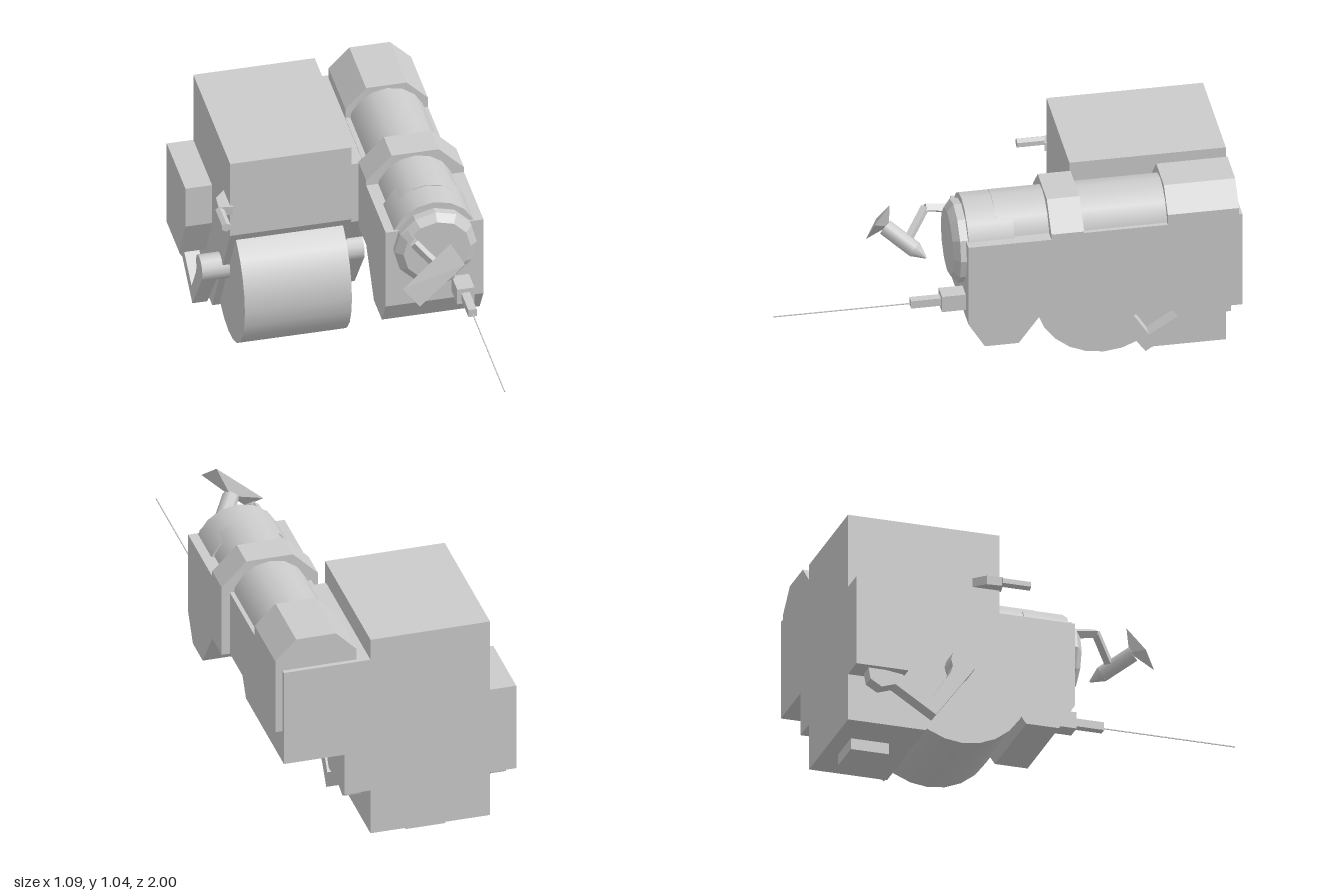
import * as THREE from 'three';
import { ConvexGeometry } from 'three/addons/geometries/ConvexGeometry.js';

export function createModel() {
  const model = new THREE.Group();
  const V = (x, y, z) => new THREE.Vector3(x, y, z);
  const grey = (flat = true) => new THREE.MeshStandardMaterial({ color: 0xcccccc, flatShading: flat });

  function add(name, geometry, flat = true) {
    const mesh = new THREE.Mesh(geometry, grey(flat));
    mesh.name = name;
    model.add(mesh);
    return mesh;
  }
  // Box given by its limits on each axis
  function box(name, x0, x1, y0, y1, z0, z1) {
    return add(name, new THREE.BoxGeometry(x1 - x0, y1 - y0, z1 - z0)
      .translate((x0 + x1) / 2, (y0 + y1) / 2, (z0 + z1) / 2));
  }
  function extrude(points, depth) {
    const shape = new THREE.Shape(points.map(([a, b]) => new THREE.Vector2(a, b)));
    return new THREE.ExtrudeGeometry(shape, { depth, bevelEnabled: false });
  }
  // Side profile of [z, y] points, extruded from x0 to x1
  function side(name, x0, x1, points) {
    return add(name, extrude(points, x1 - x0).rotateY(-Math.PI / 2).translate(x1, 0, 0));
  }
  // Front profile of [x, y] points, extruded from z0 to z1
  function front(name, z0, z1, points) {
    return add(name, extrude(points, z1 - z0).translate(0, 0, z0));
  }
  // Round bar between two points, r0 at the start and r1 at the end
  function bar(name, a, b, r0, r1 = r0, sides = 12, flat = false) {
    const dir = b.clone().sub(a);
    const mesh = add(name, new THREE.CylinderGeometry(r1, r0, dir.length(), sides), flat);
    mesh.position.copy(a).add(b).multiplyScalar(0.5);
    mesh.quaternion.setFromUnitVectors(V(0, 1, 0), dir.normalize());
    return mesh;
  }

  // Main housing with sloping lower front
  side('housing', -0.43, 0.095, [[-1, 0.05], [-0.655, 0.05], [-0.33, 0.63], [-0.33, 1], [-1, 1]]);
  box('foot', -0.255, -0.08, 0, 0.06, -0.93, -0.76);

  // Side wings
  side('rightWing', -0.545, -0.42, [[-1, 0.26], [-0.77, 0.26], [-0.66, 0.47], [-0.66, 0.665], [-1, 0.665]]);
  side('leftWing', 0.085, 0.21, [[-1, 0.26], [-0.77, 0.26], [-0.66, 0.457], [-1, 0.457]]);

  // Bridge carrying the long barrel unit
  side('bridge', 0.085, 0.475, [[-1, 0.455], [-0.44, 0.455], [-0.345, 0.605], [-0.345, 0.902], [-1, 0.902]]);

  // Roller, axle and bent arms
  bar('roller', V(-0.4, 0.325, -0.485), V(0.063, 0.325, -0.485), 0.296, 0.296, 24);
  bar('axle', V(-0.52, 0.353, -0.515), V(0.182, 0.353, -0.515), 0.058);
  for (const x of [-0.52, 0.117]) {
    side('axleArm', x, x + 0.065, [[-0.47, 0.32], [-0.64, 0.085], [-0.82, 0.2], [-0.88, 0.18], [-0.93, 0.21],
      [-0.94, 0.27], [-0.79, 0.25], [-0.655, 0.165], [-0.575, 0.29], [-0.56, 0.34]]);
  }

  // Side lever
  add('leverStem', extrude([[-0.42, 0.46], [-0.475, 0.4], [-0.48, 0.33], [-0.42, 0.32]], 0.04)
    .rotateX(-Math.PI / 2).translate(0, 0.745, 0));
  bar('leverHandle', V(-0.475, 0.763, -0.335), V(-0.475, 0.763, -0.21), 0.021, 0.021, 6, true);

  // Barrel unit: rear case, front case and chamfered collars
  box('rearCase', 0.15, 0.507, 0.605, 0.905, -0.98, -0.3);
  side('frontCase', 0.12, 0.543, [[0.185, 0.91], [-0.31, 0.91], [-0.31, 0.605], [-0.17, 0.605],
    [-0.03, 0.415], [0.115, 0.415], [0.185, 0.53]]);
  front('rearCollar', -0.98, -0.675,
    [[0.15, 0.9], [0.507, 0.9], [0.507, 0.953], [0.415, 1.045], [0.24, 1.045], [0.15, 0.953]]);
  front('frontCollar', -0.31, -0.17,
    [[0.12, 0.9], [0.543, 0.9], [0.543, 0.935], [0.435, 1.045], [0.23, 1.045], [0.12, 0.935]]);

  // Barrel, thicker sleeve and bevelled muzzle
  bar('barrel', V(0.33, 0.863, -0.7), V(0.33, 0.863, 0.05), 0.167, 0.167, 16);
  bar('sleeve', V(0.33, 0.84, -0.02), V(0.33, 0.84, 0.176), 0.186, 0.186, 16);
  bar('muzzle', V(0.33, 0.82, 0.15), V(0.33, 0.82, 0.21), 0.178, 0.178, 12, true);
  bar('muzzleBevel', V(0.33, 0.82, 0.21), V(0.33, 0.82, 0.237), 0.178, 0.145, 12, true);

  // Probe with a thin needle
  box('probeBase', 0.405, 0.48, 0.565, 0.64, 0.17, 0.287);
  box('probeTip', 0.423, 0.459, 0.584, 0.62, 0.28, 0.415);
  box('needle', 0.439, 0.443, 0.597, 0.601, 0.41, 1);

  // Bent bracket holding the spindle
  const bend = [V(0.2, 0.9, 0.19), V(0.215, 0.925, 0.31), V(0.305, 0.84, 0.395)];
  bar('bracketRoot', bend[0], bend[1], 0.025, 0.02, 4, true);
  bar('bracketArm', bend[1], bend[2], 0.02, 0.02, 4, true);
  bar('spindle', V(0.265, 0.878, 0.49), V(0.345, 0.803, 0.378), 0.036, 0.036, 8);
  bar('spindleTip', V(0.345, 0.803, 0.378), V(0.375, 0.775, 0.335), 0.036, 0.004, 8);

  // Tilted rectangular paddle tapering back to the spindle
  add('paddle', new ConvexGeometry([V(0.12, 0.835, 0.5), V(0.33, 1.025, 0.483), V(0.375, 0.96, 0.556),
    V(0.18, 0.775, 0.556), V(0.27, 0.885, 0.475)]));
  return model;
}
